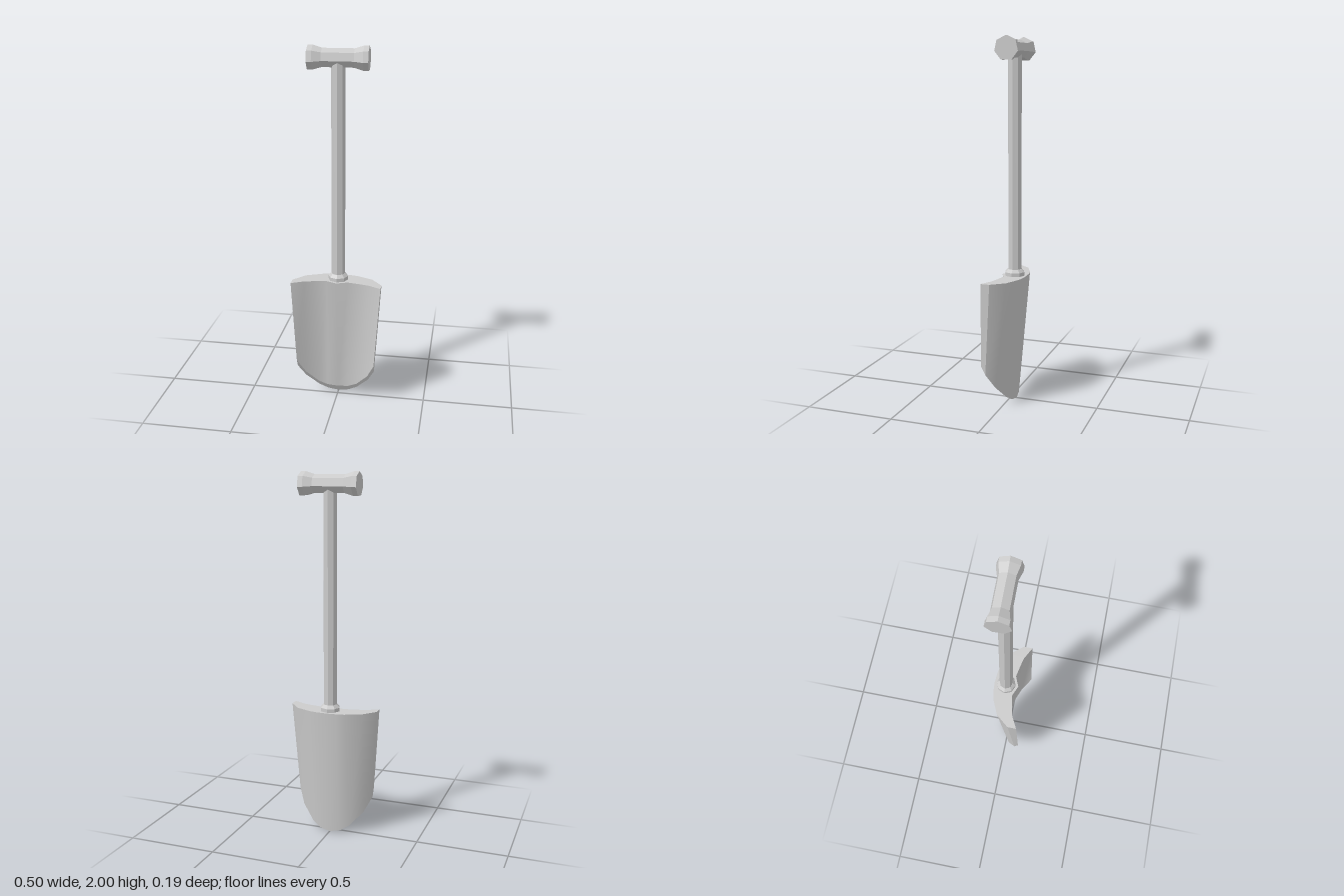
import * as THREE from 'three';
import { mergeGeometries } from 'three/addons/utils/BufferGeometryUtils.js';

const flat = new THREE.MeshStandardMaterial({ color: 0xcccccc, flatShading: true });
const smooth = new THREE.MeshStandardMaterial({ color: 0xcccccc });
const AXIS_Z = -0.024;

// Mirror a half row of [x, y, z] points (starting at x = 0) to a full row
const mirrorRow = (half) => [...half.slice(1).reverse().map(([x, y, z]) => [-x, y, z]), ...half];

// Smooth band between two rows of points
function strip(a, b) {
  const n = a.length, index = [];
  for (let i = 0; i < n - 1; i++) index.push(i, n + i, i + 1, i + 1, n + i, n + i + 1);
  const g = new THREE.BufferGeometry();
  g.setAttribute('position', new THREE.Float32BufferAttribute([...a, ...b].flat(), 3));
  g.setIndex(index);
  g.computeVertexNormals();
  return g;
}

// Faceted solid of revolution from [radius, height] pairs
function turned(name, profile, sides) {
  const points = profile.map(([r, y]) => new THREE.Vector2(r, y));
  const mesh = new THREE.Mesh(new THREE.LatheGeometry(points, sides), flat);
  mesh.name = name;
  return mesh;
}

// Scooped blade: thick curved top, lower end cut by a sloping plane
function createBlade() {
  const topY = 0.715;
  const top = (p) => mirrorRow(p.map(([x, z]) => [x, topY, z]));
  const cut = (p) => mirrorRow(p.map(([x, y]) => [x, y, -0.035 + (y - 0.002) * 0.525]));
  const topBack = top([[0, -0.092], [0.06, -0.088], [0.1, -0.08], [0.19, -0.04], [0.25, 0.033]]);
  const topFront = top([[0, 0.047], [0.06, 0.022], [0.13, 0.035], [0.18, 0.047], [0.25, 0.083]]);
  const lowBack = cut([[0, 0.002], [0.06, 0.014], [0.11, 0.045], [0.18, 0.12], [0.22, 0.2]]);
  const lowFront = cut([[0, 0.04], [0.06, 0.046], [0.11, 0.072], [0.178, 0.15], [0.22, 0.245]]);
  const end = topBack.length - 1;
  const geometry = mergeGeometries([
    strip(topFront, lowFront),
    strip(lowBack, topBack),
    strip(topBack, topFront),
    strip(lowFront, lowBack),
    strip([lowBack[end], lowFront[end]], [topBack[end], topFront[end]]),
    strip([topBack[0], topFront[0]], [lowBack[0], lowFront[0]]),
  ]);
  const blade = new THREE.Mesh(geometry, smooth);
  blade.name = 'blade';
  return blade;
}

export function createModel() {
  const group = new THREE.Group();
  group.name = 'spade';
  group.add(createBlade());

  // Collar seated on the blade
  const collar = turned('collar', [[0, 0.71], [0.055, 0.71], [0.055, 0.735], [0.039, 0.752], [0, 0.752]], 8);
  collar.position.z = AXIS_Z;

  // Long shaft
  const shaft = turned('shaft', [[0, 0.72], [0.038, 0.72], [0.038, 1.915], [0, 1.915]], 8);
  shaft.position.z = AXIS_Z;

  // Cross grip with flared ends, one ridge on top
  const grip = turned('grip', [
    [0, -0.16], [0.065, -0.16], [0.065, -0.133], [0.05, -0.085],
    [0.05, 0.085], [0.065, 0.133], [0.065, 0.16], [0, 0.16],
  ], 7);
  grip.geometry.rotateX(-Math.PI / 2).rotateY(Math.PI / 2);
  grip.rotation.y = 0.02;
  grip.position.set(0, 1.935, -0.027);

  group.add(collar, shaft, grip);
  return group;
}
